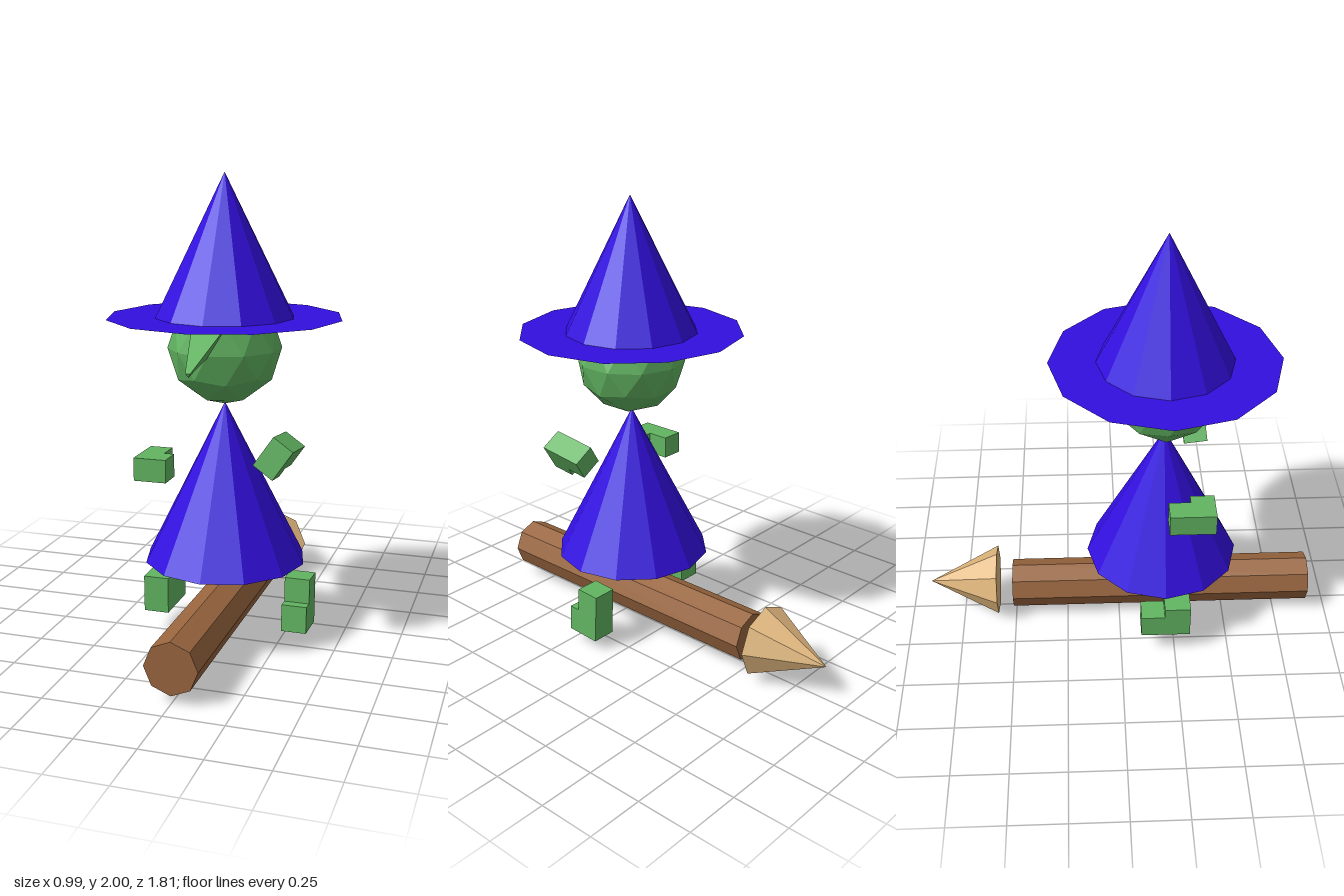
import * as THREE from 'three';

const material = (color, extra = {}) => new THREE.MeshStandardMaterial({ color, flatShading: true, ...extra });

export function createModel() {
  const model = new THREE.Group();
  model.name = 'flyingWitch';
  const blue = material(0x330fe0);
  const green = material(0x62b562);
  const brown = material(0x99663f);
  const straw = material(0xdeb57c);

  function add(name, geometry, mat, x, y, z) {
    const mesh = new THREE.Mesh(geometry, mat);
    mesh.name = name;
    mesh.position.set(x, y, z);
    model.add(mesh);
    return mesh;
  }

  // Hat and robe
  add('hatCone', new THREE.ConeGeometry(0.295, 0.59, 12), blue, 0, 1.705, 0.197);
  const brim = add('hatBrim', new THREE.CircleGeometry(0.497, 12),
    material(0x330fe0, { side: THREE.DoubleSide }), 0, 1.411, 0.197);
  brim.rotation.x = -Math.PI / 2;
  add('robe', new THREE.ConeGeometry(0.348, 0.69, 12), blue, 0, 0.703, 0.2);

  // Faceted head with a vertex at each pole
  const head = new THREE.IcosahedronGeometry(0.24, 1);
  head.rotateZ(-Math.atan(2 / (1 + Math.sqrt(5))));
  add('head', head, green, 0, 1.28, 0.2);

  // Three-sided drooping nose
  const root = new THREE.Vector3(0, 1.376, 0.36);
  const tip = new THREE.Vector3(0, 1.25, 0.668);
  const along = tip.clone().sub(root);
  const nose = add('nose', new THREE.CylinderGeometry(0.012, 0.092, along.length(), 3), green,
    0, (root.y + tip.y) / 2, (root.z + tip.z) / 2);
  nose.quaternion.setFromUnitVectors(new THREE.Vector3(0, 1, 0), along.normalize());

  // L-shaped hands and feet: shape x runs to the toe, shape y up the limb
  const W = 0.11, H = 0.225, D = 0.158;
  const outline = new THREE.Shape([
    [0, 0], [D, 0], [D, 0.118], [W, 0.118], [W, H], [0, H],
  ].map(([x, y]) => new THREE.Vector2(x - D / 2, y - H / 2)));
  const limbGeometry = new THREE.ExtrudeGeometry(outline, { depth: W, bevelEnabled: false });
  limbGeometry.translate(0, 0, -W / 2);

  function limb(name, scale, center, toe, up) {
    const t = new THREE.Vector3(...toe).normalize();
    const w = t.clone().cross(new THREE.Vector3(...up)).normalize();
    const u = w.clone().cross(t);
    const mesh = add(name, limbGeometry, green, ...center);
    mesh.quaternion.setFromRotationMatrix(new THREE.Matrix4().makeBasis(t, u, w));
    mesh.scale.setScalar(scale);
  }
  limb('leftHand', 0.92, [0.268, 0.861, 0.311], [-0.56, -0.82, 0.1], [0, -0.12, -0.99]);
  limb('rightHand', 0.9, [-0.265, 0.78, 0.309], [1, 0, 0], [0, 0, -1]);
  limb('leftFoot', 1, [0.32, 0.17, 0.163], [0, 0.05, 1], [0, 1, -0.05]);
  limb('rightFoot', 1, [-0.28, 0.192, 0.205], [0, 1, 0], [0, 0, -1]);

  // Broom with its bristles pointing back
  const handle = add('broomHandle', new THREE.CylinderGeometry(0.112, 0.112, 1.412, 8), brown, 0, 0.149, 0.197);
  handle.rotation.x = Math.PI / 2;
  const bristles = add('broomBristles', new THREE.ConeGeometry(0.162, 0.322, 8), straw, 0.008, 0.165, -0.742);
  bristles.rotation.x = -Math.PI / 2;

  return model;
}
